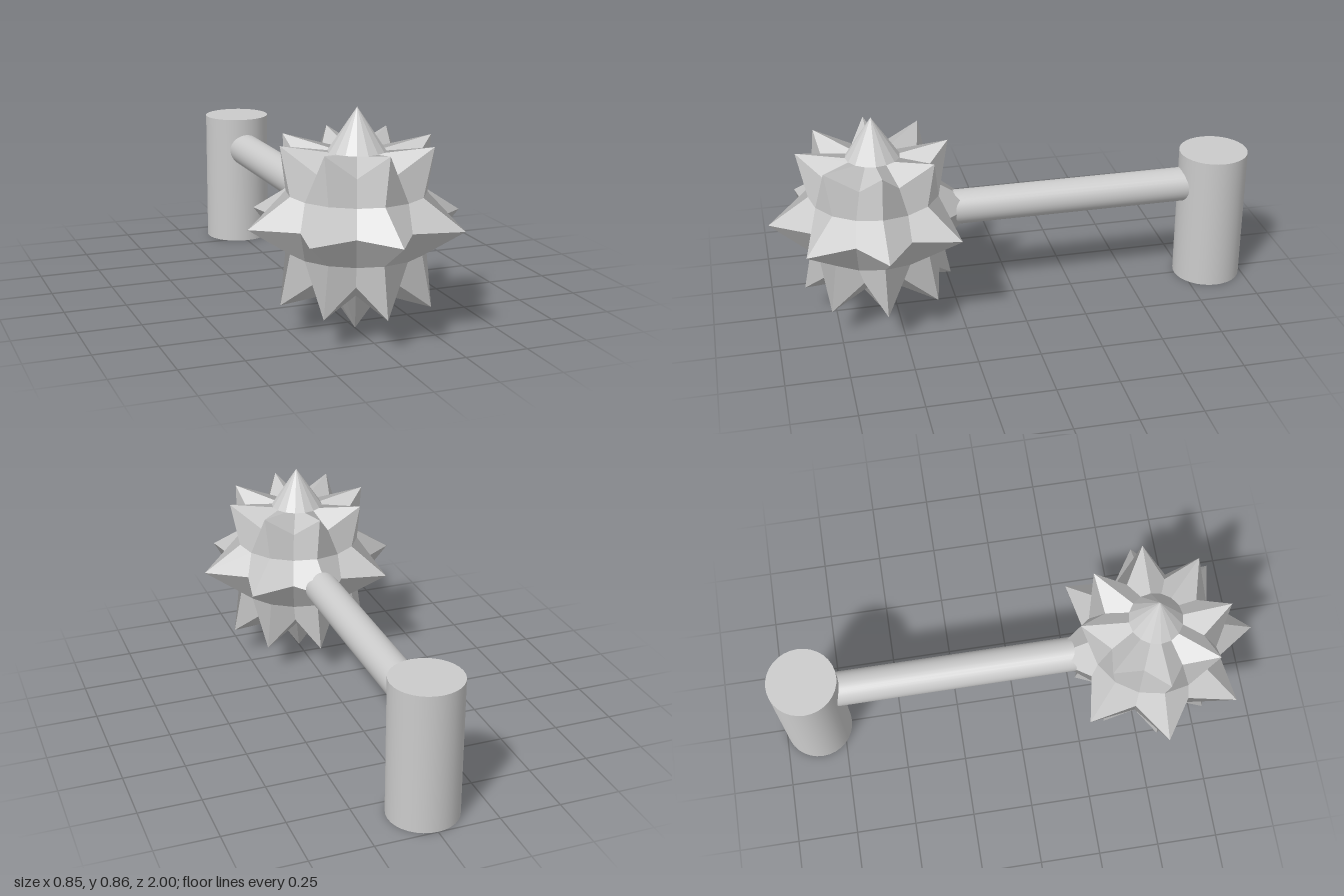
import * as THREE from 'three';

const CENTRE_Y = 0.43, HEAD_Z = 0.57;
const CORE = 0.285, TIP = 0.427;
const SIDES = 16, RINGS = 8;

const material = () => new THREE.MeshStandardMaterial({ color: 0xcccccc });

// Point on the head: every second vertex of every second ring is pulled out to a tip
function headPoint(ring, side) {
  const pole = ring === 0 || ring === RINGS;
  const isTip = pole || (ring % 2 === 0 && side % 2 === 0);
  const lat = Math.PI / 2 - (ring / RINGS) * Math.PI;
  const az = (side / SIDES) * Math.PI * 2;
  return new THREE.Vector3(
    Math.cos(lat) * Math.sin(az), Math.sin(lat), Math.cos(lat) * Math.cos(az)
  ).multiplyScalar(isTip ? TIP : CORE);
}

// Spiked ball, each four-cornered facet shaded with a single normal
function spikedBall() {
  const positions = [], normals = [];
  const addFacet = (triangles) => {
    const normal = new THREE.Vector3();
    for (const [a, b, c] of triangles) {
      normal.add(b.clone().sub(a).cross(c.clone().sub(a)));
    }
    normal.normalize();
    for (const p of triangles.flat()) {
      positions.push(p.x, p.y, p.z);
      normals.push(normal.x, normal.y, normal.z);
    }
  };
  for (let r = 0; r < RINGS; r++) {
    for (let s = 0; s < SIDES; s++) {
      const a = headPoint(r, s), b = headPoint(r + 1, s);
      const c = headPoint(r + 1, s + 1), d = headPoint(r, s + 1);
      if (r === 0) addFacet([[a, b, c]]);
      else if (r === RINGS - 1) addFacet([[a, b, d]]);
      // Split each facet from its spike tip to the opposite corner
      else if ((r + s) % 2 === 0) addFacet([[a, b, c], [a, c, d]]);
      else addFacet([[a, b, d], [b, c, d]]);
    }
  }
  const geometry = new THREE.BufferGeometry();
  geometry.setAttribute('position', new THREE.Float32BufferAttribute(positions, 3));
  geometry.setAttribute('normal', new THREE.Float32BufferAttribute(normals, 3));
  return geometry;
}

export function createModel() {
  const model = new THREE.Group();
  model.name = 'spikedMace';
  const add = (name, geometry, x, y, z) => {
    const mesh = new THREE.Mesh(geometry, material());
    mesh.name = name;
    mesh.position.set(x, y, z);
    model.add(mesh);
    return mesh;
  };

  add('spikedHead', spikedBall(), 0, CENTRE_Y, HEAD_Z);

  // Shaft from inside the head to inside the grip
  const shaftFront = 0.27, shaftBack = -0.8;
  add('shaft', new THREE.CylinderGeometry(0.071, 0.071, shaftFront - shaftBack, 32),
    0, CENTRE_Y, (shaftFront + shaftBack) / 2).rotation.x = Math.PI / 2;

  // Upright grip
  add('grip', new THREE.CylinderGeometry(0.142, 0.142, 0.57, 32), 0, 0.287, -0.857);

  return model;
}
